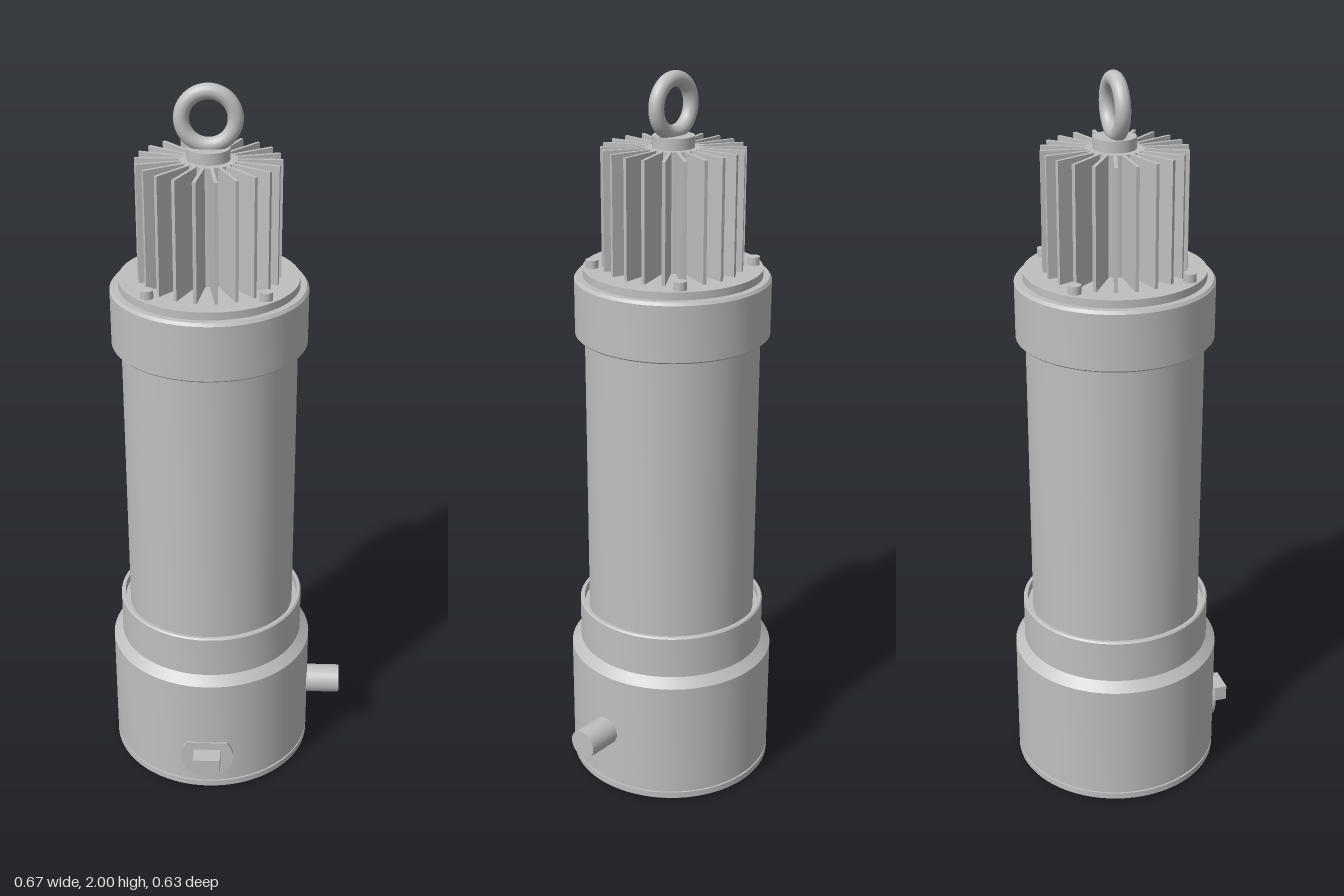
import * as THREE from 'three';
import { toCreasedNormals } from 'three/addons/utils/BufferGeometryUtils.js';

const SEG = 72;

export function createModel() {
  const model = new THREE.Group();
  // everything is built around the pump axis
  const pump = new THREE.Group();
  pump.name = 'pump';
  pump.position.set(-0.049, 0, -0.026);
  model.add(pump);

  const grey = new THREE.MeshStandardMaterial({ color: 0xbfbfbf });
  grey.name = 'metal grey';

  const add = (name, geometry, x = 0, y = 0, z = 0) => {
    const mesh = new THREE.Mesh(geometry, grey);
    mesh.name = name;
    mesh.position.set(x, y, z);
    pump.add(mesh);
    return mesh;
  };
  // turned part from [radius, height] points, bottom to top
  const turned = (name, points) => {
    const lathe = new THREE.LatheGeometry(points.map(([r, y]) => new THREE.Vector2(r, y)), SEG);
    return add(name, toCreasedNormals(lathe, 0.4));
  };
  const disc = (name, r, h, x, y, z, seg = 24) =>
    add(name, new THREE.CylinderGeometry(r, r, h, seg), x, y + h / 2, z);

  // base plate, groove and housing with bevelled shoulder
  turned('basePlate', [[0, 0.003], [0.282, 0.003], [0.288, 0.008], [0.288, 0.026], [0.283, 0.026]]);
  turned('baseHousing', [[0.283, 0.026], [0.283, 0.032], [0.288, 0.032], [0.288, 0.368],
    [0.262, 0.392], [0, 0.392]]);

  // collars with a shallow recess around the tube
  turned('lowerCollar', [[0.262, 0.385], [0.262, 0.511], [0.258, 0.515], [0.25, 0.515],
    [0.25, 0.49], [0.2, 0.49]]);
  turned('bodyTube', [[0.236, 0.48], [0.236, 1.345]]);
  turned('upperCollar', [[0.2, 1.335], [0.25, 1.335], [0.25, 1.31], [0.258, 1.31], [0.262, 1.314],
    [0.262, 1.464], [0.256, 1.472], [0, 1.472]]);
  turned('topPlate', [[0.239, 1.47], [0.239, 1.493], [0, 1.493]]);

  // bolts on the top plate and screws under the base
  for (const sx of [-1, 1]) {
    for (const sz of [-1, 1]) {
      disc('topBolt', 0.017, 0.024, sx * 0.151, 1.491, sz * 0.151);
      disc('baseScrew', 0.018, 0.006, sx * 0.176, 0, sz * 0.176);
    }
  }

  // cooling fins around a core
  disc('finCore', 0.075, 0.318, 0, 1.49, 0, SEG);
  const fin = new THREE.BoxGeometry(0.119, 0.318, 0.009);
  fin.translate(0.1285, 0, 0);
  for (let i = 0; i < 22; i++) {
    add('coolingFin', fin, 0, 1.65, 0).rotation.y = (i / 22) * Math.PI * 2;
  }

  // lifting eye
  disc('eyeFlange', 0.055, 0.032, 0, 1.806, 0, 48);
  add('liftingEye', new THREE.TorusGeometry(0.068, 0.02, 24, 64), 0, 1.912, 0);

  // outlet pipe on the left side
  const pipe = new THREE.CylinderGeometry(0.041, 0.041, 0.133, 40);
  pipe.rotateZ(Math.PI / 2);
  add('outletPipe', pipe, 0.3165, 0.19, 0);

  // teardrop pad and square plug on the front
  const pad = new THREE.Shape();
  const r = 0.075, tip = 0.115, a = Math.asin(r / tip);
  pad.moveTo(0, tip);
  pad.absarc(0, 0, r, Math.PI - a, a + Math.PI * 2, false);
  pad.closePath();
  const padGeometry = new THREE.ExtrudeGeometry(pad, { depth: 0.05, bevelEnabled: false, curveSegments: 40 });
  add('plugPad', toCreasedNormals(padGeometry, 0.4), 0, 0.12, 0.24);
  add('squarePlug', new THREE.BoxGeometry(0.077, 0.045, 0.06), 0, 0.122, 0.308);

  return model;
}
